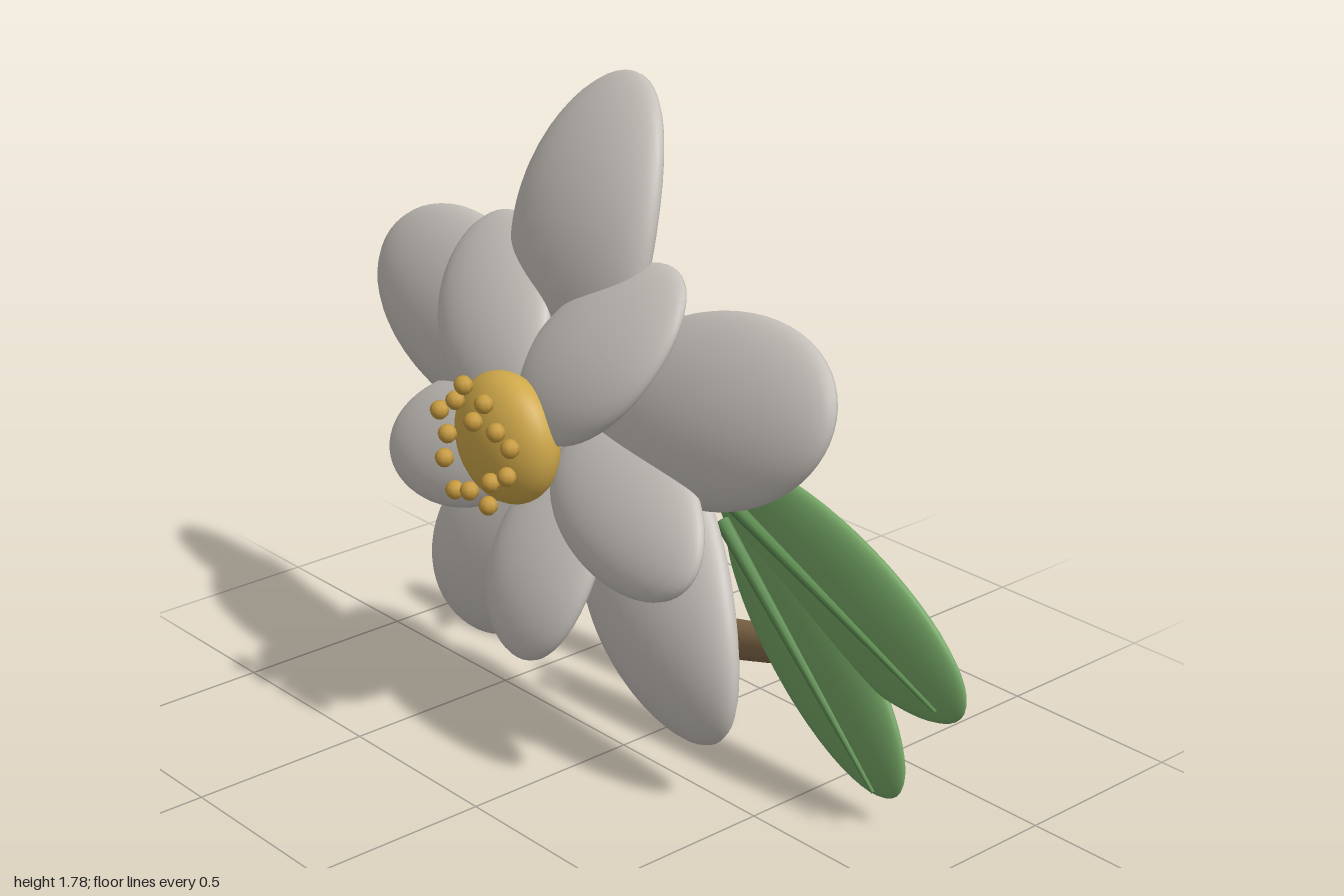
import * as THREE from 'three';
import { mergeVertices } from 'three/addons/utils/BufferGeometryUtils.js';

const mat = (name, color) => {
  const m = new THREE.MeshStandardMaterial({ color });
  m.name = name;
  return m;
};

export function createModel() {
  const model = new THREE.Group();
  model.name = 'flowerSprig';
  const petalMat = mat('petal grey white', 0xc5c0ba);
  const goldMat = mat('gold', 0xcfa84a);
  const beadMat = mat('stamen gold', 0xc69a3e);
  const leafMat = mat('leaf green', 0x74a565);
  const veinMat = mat('vein green', 0x5c8a50);
  const barkMat = mat('bark brown', 0x806848);

  const add = (parent, name, geo, material, x = 0, y = 0, z = 0) => {
    const mesh = new THREE.Mesh(geo, material);
    mesh.name = name;
    mesh.position.set(x, y, z);
    parent.add(mesh);
    return mesh;
  };
  const group = (name) => {
    const g = new THREE.Group();
    g.name = name;
    model.add(g);
    return g;
  };

  // Petal: a flat ellipsoid turned in the flower's plane, leaning back and bowed forward
  function petalGeometry(p, angle) {
    let geo = new THREE.SphereGeometry(1, 40, 28);
    geo.deleteAttribute('uv');
    geo.deleteAttribute('normal');
    geo = mergeVertices(geo, 1e-4);
    geo.scale(p.length, p.width, p.thick).rotateZ(angle).scale(1, p.squash, 1);
    const pos = geo.attributes.position;
    for (let i = 0; i < pos.count; i++) {
      const y = pos.getY(i);
      pos.setZ(i, pos.getZ(i) - p.lean * y - p.bow * y * y);
    }
    geo.computeVertexNormals();
    return geo;
  }

  // Two rings of five petals
  const rings = [
    { name: 'outerPetal', start: 90, cy: 0.9, z: 0.027, reach: 0.49, length: 0.42, width: 0.252, thick: 0.082, squash: 0.94, lean: 0.23, bow: 0.52 },
    { name: 'innerPetal', start: 54, cy: 0.884, z: 0.157, reach: 0.332, length: 0.3, width: 0.19, thick: 0.065, squash: 0.87, lean: 0.5, bow: 0.65 },
  ];
  const flower = group('flower');
  for (const p of rings) {
    for (let i = 0; i < 5; i++) {
      const a = THREE.MathUtils.degToRad(p.start + i * 72);
      add(flower, p.name, petalGeometry(p, a), petalMat,
        -0.13 + p.reach * Math.cos(a), p.cy + p.reach * Math.sin(a), p.z);
    }
  }

  // Flower centre with stamen beads
  add(flower, 'flowerCentre', new THREE.SphereGeometry(0.172, 32, 24).scale(1, 1, 0.58), goldMat, -0.13, 0.915, 0.275);
  const beads = [
    [-0.165, 1.072], [-0.085, 1.045], [-0.2, 1.022], [-0.13, 0.985], [-0.04, 0.983],
    [0.015, 0.957], [-0.265, 0.977], [-0.235, 0.922], [-0.25, 0.852], [-0.21, 0.777],
    [-0.15, 0.793], [-0.075, 0.777], [-0.065, 0.842], [0, 0.878],
  ];
  for (const [x, y] of beads) {
    add(flower, 'stamenBead', new THREE.SphereGeometry(0.025, 8, 6), beadMat, x, y, 0.382);
  }

  // Tapered rod between two points
  const up = new THREE.Vector3(0, 1, 0);
  function rod(parent, name, a, b, ra, rb, material, sides) {
    const dir = b.clone().sub(a);
    const mesh = add(parent, name, new THREE.CylinderGeometry(rb, ra, dir.length(), sides), material);
    mesh.position.copy(a).add(b).multiplyScalar(0.5);
    mesh.quaternion.setFromUnitVectors(up, dir.normalize());
  }
  const v = (x, y, z) => new THREE.Vector3(x, y, z);

  // Leaves with a raised central vein, base to tip
  const leaves = [
    { x: -0.67, y: 0.33, turn: 45, length: 0.43, width: 0.18, base: [-0.41, 0.59], tip: [-0.95, 0.05] },
    { x: 0.55, y: 0.588, turn: -22, length: 0.477, width: 0.18, base: [0.18, 0.752], tip: [0.955, 0.42] },
    { x: 0.48, y: 0.4, turn: -45, length: 0.43, width: 0.175, base: [0.2, 0.672], tip: [0.76, 0.12] },
  ];
  const foliage = group('foliage');
  for (const l of leaves) {
    const leaf = new THREE.SphereGeometry(1, 40, 28).scale(l.length, l.width, 0.043);
    add(foliage, 'leaf', leaf, leafMat, l.x, l.y, -0.218).rotation.z = THREE.MathUtils.degToRad(l.turn);
    rod(foliage, 'leafVein', v(...l.base, -0.157), v(...l.tip, -0.157), 0.02, 0.005, veinMat, 8);
  }

  // Bent branch with rounded joints
  const branch = group('branch');
  const joints = [
    [0.5, 0.68, -0.272, 0.038], [0.27, 0.295, -0.31, 0.05],
    [-0.13, 0.175, -0.343, 0.06], [-0.55, 0.305, -0.312, 0.052],
  ];
  joints.forEach(([x, y, z, r], i) => {
    add(branch, 'branchJoint', new THREE.SphereGeometry(r, 20, 14), barkMat, x, y, z);
    if (i === 0) return;
    const [px, py, pz, pr] = joints[i - 1];
    rod(branch, 'branchSegment', v(px, py, pz), v(x, y, z), pr, r, barkMat, 16);
  });

  return model;
}
